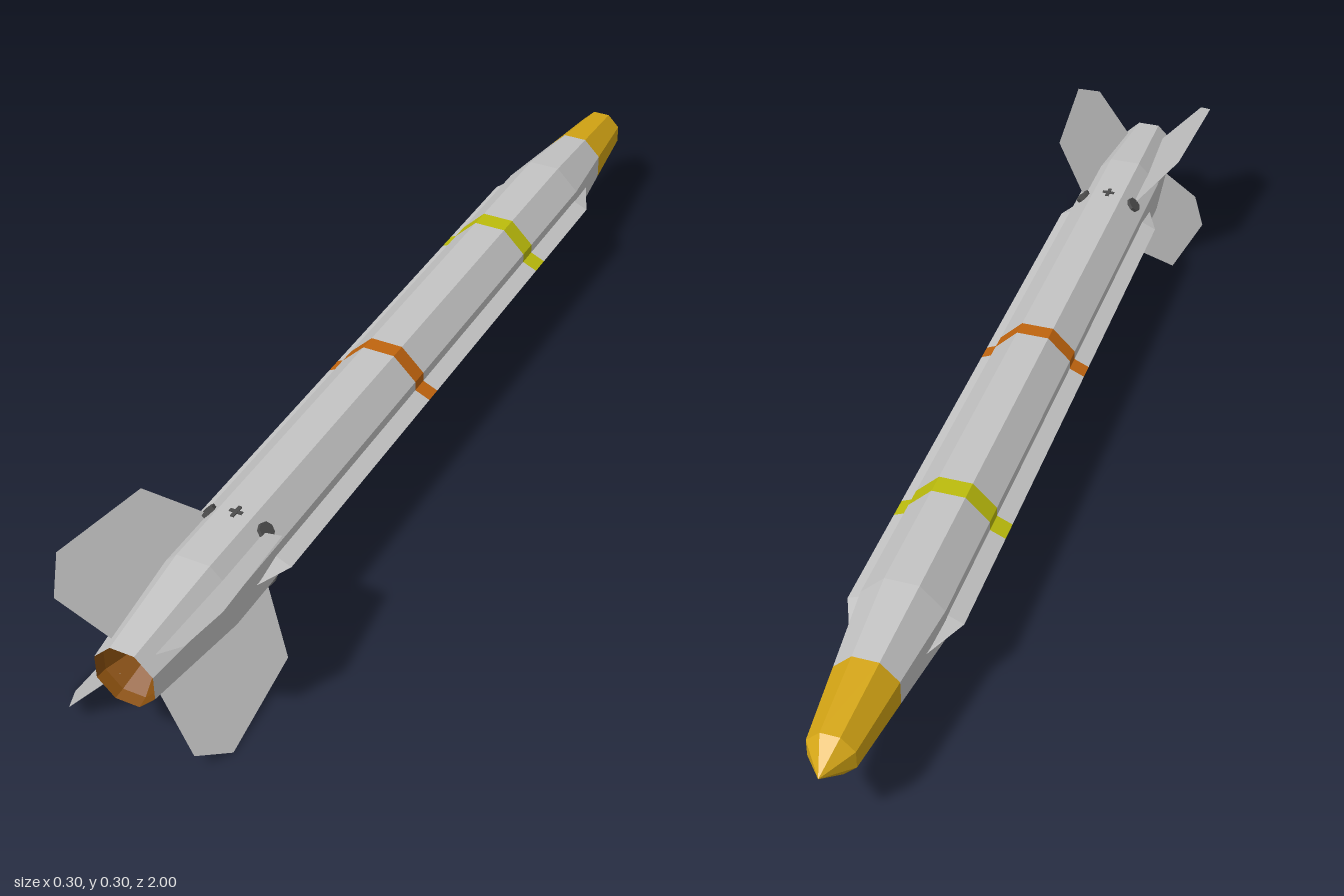
import * as THREE from 'three';

const AXIS_Y = 0.152;

// Joins cross-sections (counter-clockwise seen from +z) into a faceted skin
function loft(sections) {
  const pos = [];
  for (let s = 0; s < sections.length - 1; s++) {
    const a = sections[s], b = sections[s + 1], n = a.length;
    for (let i = 0; i < n; i++) {
      const j = (i + 1) % n;
      for (const p of [a[i], a[j], b[j], a[i], b[j], b[i]]) pos.push(...p);
    }
  }
  const geo = new THREE.BufferGeometry();
  geo.setAttribute('position', new THREE.Float32BufferAttribute(pos, 3));
  geo.computeVertexNormals();
  return geo;
}

// Octagon with flat top; apothem is the half width across flats
function octagon([z, apothem]) {
  const r = apothem / Math.cos(Math.PI / 8);
  return Array.from({ length: 8 }, (_, i) => {
    const t = (i + 0.5) * Math.PI / 4;
    return [r * Math.cos(t), r * Math.sin(t), z];
  });
}

// Triangular section of the +x side strake
const strakeSection = ([z, base, half, tip]) => [[base, -half, z], [tip, 0, z], [base, half, z]];

export function createModel() {
  const mat = (name, color) => {
    const m = new THREE.MeshStandardMaterial({ color });
    m.name = name;
    return m;
  };
  const grey = mat('bodyGrey', 0xc4c4c4);
  const gold = mat('noseGold', 0xd4a514);
  const yellow = mat('bandYellow', 0xbcbc0c);
  const orange = mat('bandOrange', 0xc0640e);
  const brown = mat('nozzleBrown', 0x8a500e);
  const dark = mat('fittingDark', 0x4c4c4c);
  const finGrey = mat('finGrey', 0xc0c0c0);
  finGrey.side = THREE.DoubleSide;

  const root = new THREE.Group();
  const missile = new THREE.Group();
  missile.name = 'missile';
  missile.position.y = AXIS_Y;
  root.add(missile);
  const add = (name, geo, material, parent = missile) => {
    const mesh = new THREE.Mesh(geo, material);
    mesh.name = name;
    parent.add(mesh);
    return mesh;
  };

  // Body: [name, material, profile of z and apothem]
  const R = 0.076, Y0 = -0.385, Y1 = -0.345, O0 = 0.11, O1 = 0.143;
  const hull = [
    ['noseCone', gold, [[-1, 0], [-0.945, 0.042], [-0.79, 0.058]]],
    ['forwardBody', grey, [[-0.79, 0.058], [-0.62, R], [Y0, R]]],
    ['yellowBand', yellow, [[Y0, R], [Y1, R]]],
    ['middleBody', grey, [[Y1, R], [O0, R]]],
    ['orangeBand', orange, [[O0, R], [O1, R]]],
    ['rearBody', grey, [[O1, R], [0.79, R], [1, 0.054]]],
    ['nozzle', brown, [[1, 0.054], [0.98, 0.051], [0.87, 0]]],
  ];
  for (const [name, material, profile] of hull) add(name, loft(profile.map(octagon)), material);

  // Side strakes, split where the bands cross them
  const full = z => [z, 0.07, 0.0157, 0.105];
  const strake = [
    ['strakeFront', grey, [[-0.7, 0.06, 0, 0.066], full(-0.61), full(Y0)]],
    ['strakeYellowBand', yellow, [full(Y0), full(Y1)]],
    ['strakeMiddle', grey, [full(Y1), full(O0)]],
    ['strakeOrangeBand', orange, [full(O0), full(O1)]],
    ['strakeRear', grey, [full(O1), full(0.66), [0.725, 0.07, 0, 0.076]]],
  ];
  for (const side of ['left', 'right']) {
    const group = new THREE.Group();
    group.name = side + 'Strake';
    if (side === 'right') group.rotation.z = Math.PI;
    for (const [name, material, rows] of strake) add(name, loft(rows.map(strakeSection)), material, group);
    missile.add(group);
  }

  // Thin tail fins (drawn as z against radius) with a pivot disc ahead of each root
  const outline = [[0.66, 0.045], [0.66, 0.08], [0.73, 0.188], [0.94, 0.214], [1, 0.167], [0.97, 0.057], [0.97, 0.045]];
  const finGeo = new THREE.ShapeGeometry(new THREE.Shape(outline.map(p => new THREE.Vector2(...p))));
  finGeo.rotateY(-Math.PI / 2);
  const pivotGeo = new THREE.CylinderGeometry(0.016, 0.016, 0.02, 8).toNonIndexed();
  pivotGeo.computeVertexNormals();
  for (let i = 0; i < 4; i++) {
    const group = new THREE.Group();
    group.name = 'tailFin' + (i + 1);
    group.rotation.z = Math.PI / 4 + i * Math.PI / 2;
    add('fin', finGeo, finGrey, group);
    add('finPivot', pivotGeo, dark, group).position.set(0, 0.073, 0.655);
    missile.add(group);
  }

  // Small cross-shaped fasteners on top and underneath
  for (const s of [1, -1]) {
    const group = new THREE.Group();
    group.name = s > 0 ? 'topFastener' : 'bottomFastener';
    group.position.set(0, s * R, 0.655);
    add('crossBar', new THREE.BoxGeometry(0.024, 0.004, 0.007), dark, group);
    add('longBar', new THREE.BoxGeometry(0.007, 0.0044, 0.028), dark, group);
    missile.add(group);
  }
  return root;
}
